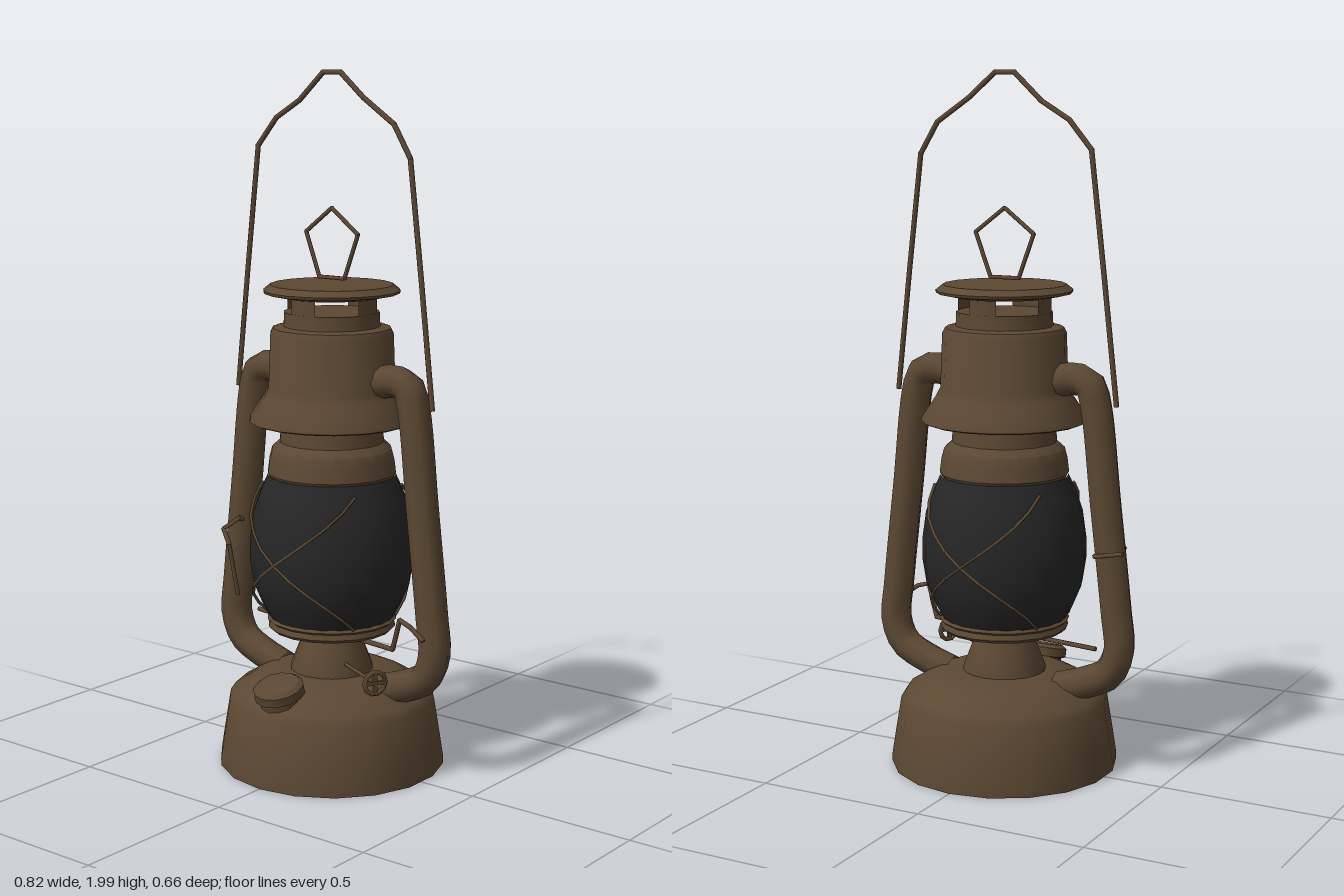
import * as THREE from 'three';
import { mergeGeometries, toCreasedNormals } from 'three/addons/utils/BufferGeometryUtils.js';

const metal = new THREE.MeshStandardMaterial({ color: 0x5c4833 });
metal.name = 'bronze metal';
const glass = new THREE.MeshStandardMaterial({ color: 0x262626 });
glass.name = 'smoked glass';

const V = (x, y, z = 0) => new THREE.Vector3(x, y, z);

export function createModel() {
  const lamp = new THREE.Group();
  lamp.name = 'lantern';

  const add = (name, geometry, material = metal) => {
    const mesh = new THREE.Mesh(geometry, material);
    mesh.name = name;
    lamp.add(mesh);
    return mesh;
  };

  // Turned part from [radius, height] pairs, listed bottom to top on the outside
  const turned = (name, profile, sides = 18, material = metal) => {
    const pts = profile.map(([r, y]) => new THREE.Vector2(r, y));
    return add(name, toCreasedNormals(new THREE.LatheGeometry(pts, sides), 0.6), material);
  };

  // Bent wire made of straight rods
  const wire = (name, points, r, sides = 6) => {
    const rods = [];
    for (let i = 0; i < points.length - 1; i++) {
      const dir = points[i + 1].clone().sub(points[i]);
      const rod = new THREE.CylinderGeometry(r, r, dir.length() + r * 0.6, sides);
      const turn = new THREE.Quaternion().setFromUnitVectors(V(0, 1, 0), dir.clone().normalize());
      rod.applyQuaternion(turn);
      const mid = points[i].clone().lerp(points[i + 1], 0.5);
      rods.push(rod.translate(mid.x, mid.y, mid.z));
    }
    return add(name, mergeGeometries(rods));
  };

  // Fuel tank and burner
  turned('fuelTank', [
    [0, 0.005], [0.328, 0.005], [0.328, 0.025], [0.318, 0.09], [0.3, 0.2],
    [0.285, 0.222], [0.22, 0.262], [0.19, 0.275], [0.115, 0.283], [0, 0.283],
  ]);
  turned('burner', [[0.12, 0.27], [0.12, 0.29], [0.095, 0.355], [0.08, 0.405]]);
  turned('glassSeat', [
    [0, 0.395], [0.085, 0.395], [0.175, 0.405], [0.185, 0.415], [0.18, 0.43],
    [0.188, 0.437], [0.178, 0.447], [0, 0.447],
  ]);

  // Glass globe
  const globe = [
    [0.178, 0.44], [0.2, 0.48], [0.225, 0.54], [0.236, 0.61], [0.236, 0.67],
    [0.225, 0.75], [0.205, 0.81], [0.183, 0.858],
  ];
  turned('globe', globe, 24, glass);

  // Collar, flared hood and vented neck
  turned('globeCollar', [
    [0, 0.852], [0.178, 0.852], [0.185, 0.865], [0.18, 0.905], [0.172, 0.935],
    [0.15, 0.955], [0.145, 1.03],
  ]);
  turned('hood', [
    [0, 1.018], [0.225, 1.01], [0.237, 1.015], [0.235, 1.025], [0.195, 1.085],
    [0.182, 1.11], [0.176, 1.265], [0.168, 1.28], [0.138, 1.285], [0.136, 1.325], [0, 1.325],
  ]);
  for (let i = 0; i < 4; i++) {
    const post = new THREE.CylinderGeometry(0.134, 0.134, 0.055, 4, 1, true, i * Math.PI / 2 - 0.32, 0.64);
    post.translate(0, 1.348, 0);
    const mesh = add('ventPost' + (i + 1), post, metalBothSides);
  }
  turned('cap', [
    [0, 1.367], [0.14, 1.367], [0.192, 1.378], [0.195, 1.386], [0.175, 1.402], [0, 1.402],
  ]);

  // Pentagon lifting ring above the cap
  wire('liftRing', [
    V(-0.045, 1.42), V(-0.092, 1.545), V(0, 1.615), V(0.092, 1.545), V(0.045, 1.42), V(-0.045, 1.42),
  ], 0.006);

  // Side air tubes
  for (const s of [1, -1]) {
    const path = new THREE.CatmullRomCurve3([
      V(0.15, 1.135), V(0.225, 1.148), V(0.268, 1.135), V(0.287, 1.08), V(0.32, 0.8),
      V(0.355, 0.5), V(0.365, 0.385), V(0.335, 0.315), V(0.27, 0.28), V(0.18, 0.25),
    ].map((p) => p.setX(p.x * s)), false, 'centripetal');
    add(s > 0 ? 'leftAirTube' : 'rightAirTube', new THREE.TubeGeometry(path, 36, 0.046, 8));
  }

  // Carrying handle
  wire('handle', [
    V(-0.35, 1.08), V(-0.31, 1.43), V(-0.268, 1.78), V(-0.2, 1.86), V(-0.115, 1.91), V(-0.03, 1.988),
    V(0.03, 1.988), V(0.11, 1.92), V(0.215, 1.85), V(0.27, 1.76), V(0.31, 1.43), V(0.35, 1.08),
  ], 0.0075);

  // Crossed guard wires hugging the globe, front and back
  const globeRadius = (y) => {
    const i = Math.max(1, globe.findIndex((p) => p[1] >= y));
    const [a, b] = [globe[i - 1], globe[i]];
    return THREE.MathUtils.mapLinear(y, a[1], b[1], a[0], b[0]);
  };
  for (const facing of [0, Math.PI]) {
    for (const s of [1, -1]) {
      const pts = [];
      for (let i = 0; i <= 10; i++) {
        const t = i / 10;
        const y = 0.445 + 0.385 * t;
        const r = globeRadius(y) + 0.004 + 0.022 * Math.sin(Math.PI * t);
        const a = facing + s * (t - 0.5) * 2;
        pts.push(V(r * Math.sin(a), y, r * Math.cos(a)));
      }
      wire(facing ? 'backGuardWire' : 'frontGuardWire', pts, 0.0045, 5);
    }
  }

  // Globe lifting lever and latch
  wire('liftLever', [
    V(-0.31, 0.392, -0.04), V(0.25, 0.392, 0.04), V(0.285, 0.487, 0.055),
    V(0.325, 0.475, 0.06), V(0.37, 0.445, 0.062),
  ], 0.007);
  wire('latch', [
    V(-0.4, 0.68, -0.06), V(-0.31, 0.66, -0.048), V(-0.31, 0.69, 0.05), V(-0.34, 0.66, 0.085),
    V(-0.305, 0.62, 0.1), V(-0.3, 0.465, 0.07),
  ], 0.007);

  // Wick rod and adjusting wheel
  wire('wickRod', [V(0.07, 0.32, 0.04), V(0.275, 0.325, 0.15)], 0.006);
  const wheel = add('wickWheel', mergeGeometries([
    new THREE.TorusGeometry(0.032, 0.007, 5, 10),
    new THREE.BoxGeometry(0.06, 0.01, 0.01),
    new THREE.BoxGeometry(0.01, 0.06, 0.01),
  ]));
  wheel.position.set(0.27, 0.325, 0.148);
  wheel.rotation.y = 1.08;

  // Tilted filler cap on the front of the tank
  const filler = turned('fillerCap', [
    [0.06, -0.05], [0.06, 0], [0.073, 0.005], [0.073, 0.03], [0.06, 0.04], [0, 0.044],
  ], 12);
  filler.position.set(0, 0.255, 0.235);
  filler.rotation.x = 0.27;

  return lamp;
}

// Same bronze for the thin vent posts, seen from inside as well
const metalBothSides = metal;
metal.side = THREE.DoubleSide;
